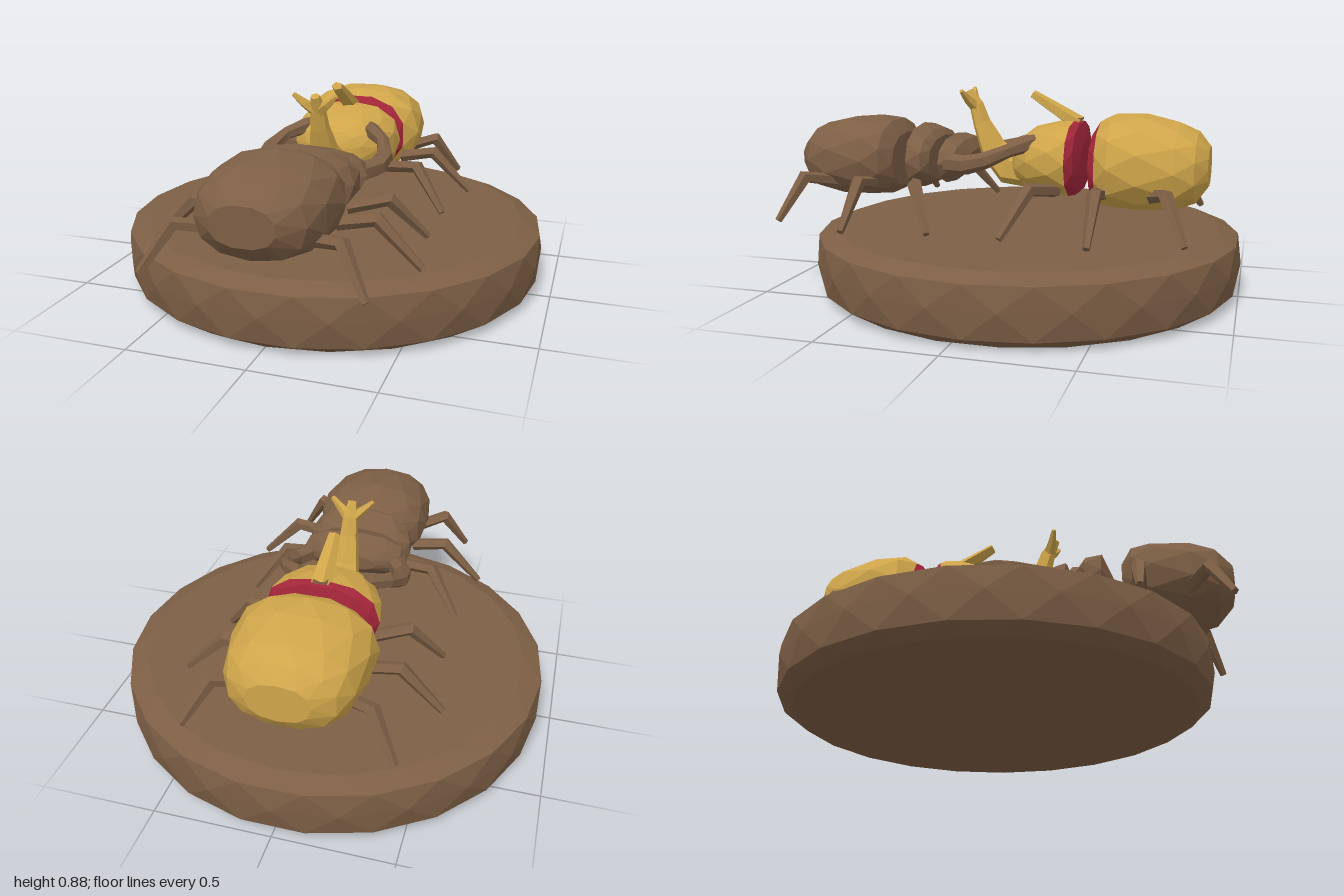
import * as THREE from 'three';

const brown = new THREE.MeshStandardMaterial({ color: 0x7d5f45 });
const gold = new THREE.MeshStandardMaterial({ color: 0xcfa54a });
const red = new THREE.MeshStandardMaterial({ color: 0xa3263a });
brown.name = 'brown'; gold.name = 'gold'; red.name = 'red';

const V = (x, y, z) => new THREE.Vector3(x, y, z);

// Skins rings of equal length into a faceted, closed solid.
function skin(rings, { stagger = false, capStart = true, capEnd = true } = {}) {
  const pos = [], n = rings[0].length;
  const tri = (...p) => p.forEach((v) => pos.push(v.x, v.y, v.z));
  for (let k = 0; k < rings.length - 1; k++) {
    for (let i = 0; i < n; i++) {
      const j = (i + 1) % n, A = rings[k], B = rings[k + 1];
      if (stagger && k % 2) { tri(A[i], A[j], B[j]); tri(A[i], B[j], B[i]); }
      else { tri(A[i], A[j], B[i]); tri(A[j], B[j], B[i]); }
    }
  }
  const cap = (ring, flip) => {
    const c = ring.reduce((s, p) => s.add(p), V(0, 0, 0)).divideScalar(n);
    ring.forEach((p, i) => {
      const q = ring[(i + 1) % n];
      flip ? tri(c, q, p) : tri(c, p, q);
    });
  };
  if (capStart) cap(rings[0], true);
  if (capEnd) cap(rings[rings.length - 1], false);
  const g = new THREE.BufferGeometry();
  g.setAttribute('position', new THREE.Float32BufferAttribute(pos, 3));
  g.computeVertexNormals();
  return g;
}

// Body shell along z from sections [z, halfWidth, bottom, top].
function shell(sections, opts = {}, n = 12) {
  const bend = (t) => Math.sign(t) * Math.abs(t) ** 0.87;
  return skin(sections.map(([z, w, y0, y1], k) => Array.from({ length: n }, (_, i) => {
    const a = ((i + (k % 2) * 0.5) / n) * Math.PI * 2;
    return V(w * bend(Math.cos(a)), (y0 + y1) / 2 + ((y1 - y0) / 2) * bend(Math.sin(a)), z);
  })), { stagger: true, ...opts });
}

// Tapered limb through points [x, y, z, radius]; wide stretches it sideways.
function limb(points, n = 5, wide = 1) {
  const p = points.map(([x, y, z]) => V(x, y, z));
  return skin(p.map((c, k) => {
    const t = p[Math.min(k + 1, p.length - 1)].clone().sub(p[Math.max(k - 1, 0)]).normalize();
    const u = V(0, 1, 0).cross(t).normalize(), v = t.clone().cross(u);
    return Array.from({ length: n }, (_, i) => {
      const a = ((i + 0.5) / n) * Math.PI * 2, r = points[k][3];
      return c.clone().addScaledVector(u, Math.cos(a) * r * wide).addScaledVector(v, Math.sin(a) * r);
    });
  }));
}

export function createModel() {
  const model = new THREE.Group();
  const add = (parent, name, geometry, material) => {
    const m = new THREE.Mesh(geometry, material);
    m.name = name;
    parent.add(m);
  };
  const both = (parent, name, points, material, n) => {
    for (const s of [1, -1]) {
      const side = s > 0 ? 'left' : 'right';
      add(parent, side + name, limb(points.map(([x, y, z, r]) => [s * x, y, z, r]), n), material);
    }
  };
  // Legs given as root, knee and foot.
  const legs = (parent, list) => list.forEach(([name, root, knee, foot]) =>
    both(parent, name, [[...root, 0.03], [...knee, 0.032], [...foot, 0.016]], brown, 5));

  // Rough round base
  const profile = [[0, 0.87], [0.04, 0.93], [0.15, 0.945], [0.25, 0.935], [0.28, 0.85]];
  add(model, 'base', skin(profile.map(([y, r], k) => Array.from({ length: 22 }, (_, i) => {
    const a = ((i + (k % 2) * 0.5) / 22) * Math.PI * 2;
    return V(Math.sin(a) * r, y, -0.06 + Math.cos(a) * r);
  })), { stagger: true }), brown);

  // Pincer beetle
  const pincer = new THREE.Group();
  pincer.name = 'pincerBeetle';
  add(pincer, 'abdomen', shell([[0.525, 0.19, 0.42, 0.67], [0.57, 0.25, 0.385, 0.73],
    [0.65, 0.27, 0.375, 0.745], [0.82, 0.26, 0.375, 0.73], [0.93, 0.22, 0.4, 0.70],
    [1.0, 0.13, 0.47, 0.63]]), brown);
  add(pincer, 'thorax', shell([[0.34, 0.21, 0.46, 0.66], [0.37, 0.25, 0.44, 0.69],
    [0.44, 0.24, 0.415, 0.715], [0.485, 0.13, 0.47, 0.61]]), brown);
  add(pincer, 'head', shell([[0.185, 0.12, 0.53, 0.60], [0.22, 0.23, 0.50, 0.65],
    [0.285, 0.25, 0.45, 0.67], [0.31, 0.17, 0.48, 0.59]]), brown);
  both(pincer, 'Mandible', [[0.20, 0.56, 0.25, 0.045], [0.255, 0.565, 0.15, 0.042],
    [0.265, 0.59, 0.06, 0.036], [0.23, 0.63, -0.03, 0.03], [0.16, 0.655, -0.10, 0.038],
    [0.145, 0.66, -0.13, 0.034]], brown, 6);
  legs(pincer, [
    ['FrontLeg', [0.20, 0.46, 0.41], [0.36, 0.49, 0.345], [0.50, 0.31, 0.24]],
    ['MiddleLeg', [0.22, 0.46, 0.605], [0.38, 0.49, 0.60], [0.56, 0.31, 0.60]],
    ['BackLeg', [0.20, 0.46, 0.80], [0.33, 0.49, 0.885], [0.44, 0.31, 0.96]],
  ]);
  model.add(pincer);

  // Horned beetle
  const horned = new THREE.Group();
  horned.name = 'hornedBeetle';
  add(horned, 'abdomen', shell([[-0.86, 0.13, 0.48, 0.65], [-0.81, 0.22, 0.41, 0.71],
    [-0.73, 0.265, 0.375, 0.75], [-0.58, 0.29, 0.37, 0.78], [-0.46, 0.295, 0.375, 0.78],
    [-0.40, 0.24, 0.385, 0.755]], { capEnd: false }), gold);
  // An odd leading ring keeps the facets lined up with the abdomen edge.
  add(horned, 'abdomenFace', shell([[-0.402, 0.23, 0.39, 0.75], [-0.40, 0.24, 0.385, 0.755],
    [-0.37, 0.21, 0.42, 0.71], [-0.36, 0.11, 0.5, 0.64]]), red);
  add(horned, 'thoraxFace', shell([[-0.325, 0.12, 0.5, 0.66], [-0.305, 0.215, 0.43, 0.74],
    [-0.275, 0.25, 0.41, 0.75]]), red);
  add(horned, 'thorax', shell([[-0.275, 0.25, 0.41, 0.75], [-0.20, 0.245, 0.425, 0.74],
    [-0.10, 0.205, 0.445, 0.715], [-0.03, 0.13, 0.47, 0.66], [0.0, 0.06, 0.5, 0.61]],
  { capStart: false }), gold);
  // Small spot at the back edge of the thorax
  const spot = new THREE.BoxGeometry(0.06, 0.009, 0.04).toNonIndexed();
  spot.translate(0, 0.752, -0.285);
  add(horned, 'thoraxSpot', spot, brown);
  add(horned, 'thoraxHorn', limb([[0, 0.73, -0.29, 0.035], [0, 0.77, -0.22, 0.032],
    [0, 0.855, -0.08, 0.02]], 5, 1.3), gold);
  // Long head horn, swept up and forked
  add(horned, 'headHorn', limb([[0, 0.52, -0.05, 0.085], [0, 0.525, 0.03, 0.085],
    [0, 0.60, 0.105, 0.065], [0, 0.72, 0.16, 0.042], [0, 0.80, 0.185, 0.034],
    [0, 0.865, 0.22, 0.02]], 6), gold);
  both(horned, 'HornFork', [[0, 0.79, 0.185, 0.028], [0.05, 0.83, 0.21, 0.02],
    [0.095, 0.87, 0.225, 0.01]], gold, 5);
  legs(horned, [
    ['FrontLeg', [0.18, 0.46, -0.23], [0.36, 0.49, -0.155], [0.50, 0.31, -0.07]],
    ['MiddleLeg', [0.22, 0.46, -0.43], [0.38, 0.49, -0.435], [0.56, 0.31, -0.44]],
    ['BackLeg', [0.21, 0.46, -0.64], [0.33, 0.49, -0.71], [0.44, 0.31, -0.80]],
  ]);
  model.add(horned);
  return model;
}
